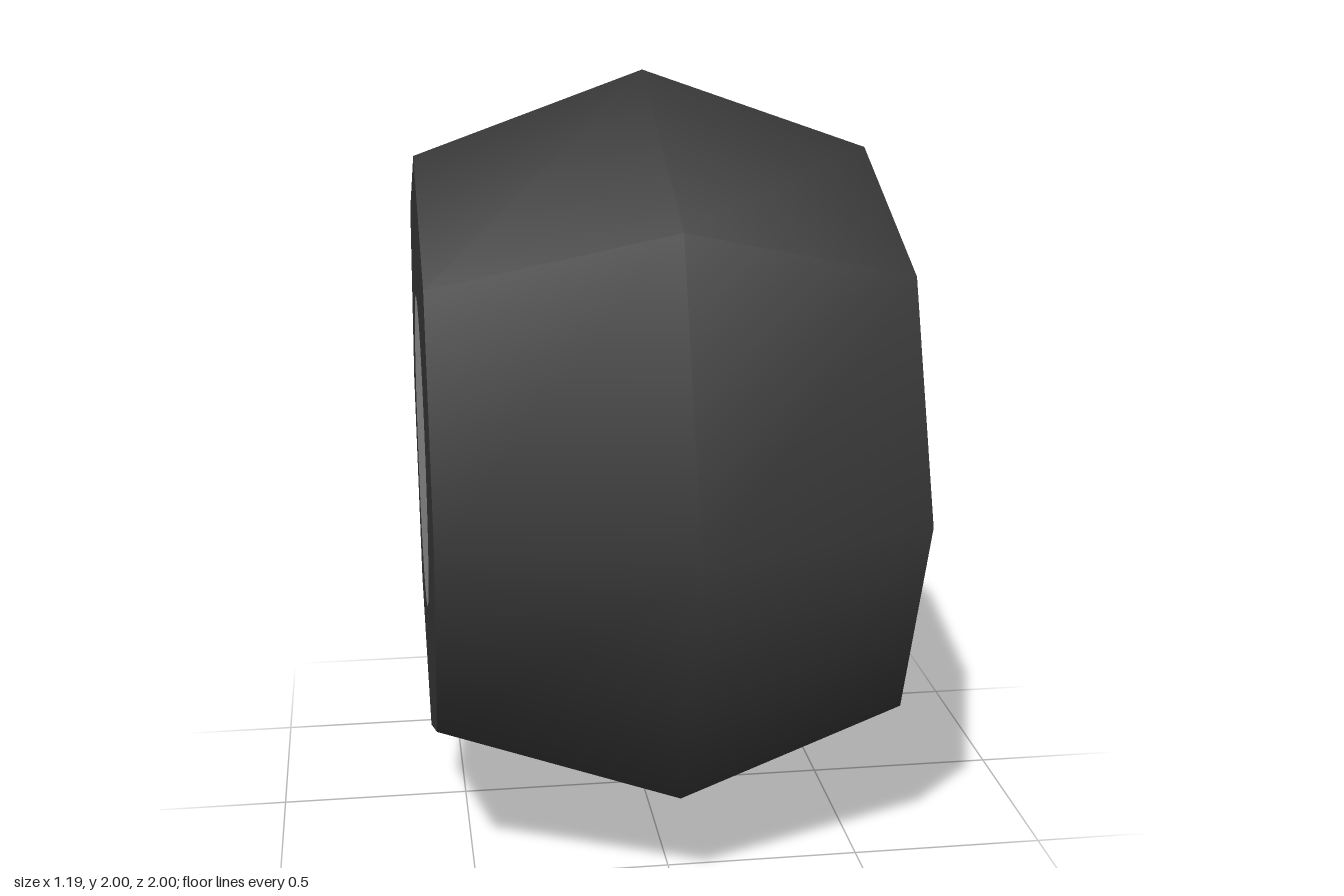
import * as THREE from 'three';

const HALF_WIDTH = 0.59;
const RIM_RADIUS = 0.79;
const SIDES = 8;

export function createModel() {
  const rubber = new THREE.MeshStandardMaterial({ color: 0x383838 });
  rubber.name = 'dark rubber';
  const metal = new THREE.MeshStandardMaterial({ color: 0x979797 });
  metal.name = 'grey hub';

  const model = new THREE.Group();
  model.name = 'wheel';

  // Smooth eight-sided tread, widest in the middle, with its axle along x
  const profile = [
    new THREE.Vector2(RIM_RADIUS, -HALF_WIDTH),
    new THREE.Vector2(1, 0),
    new THREE.Vector2(RIM_RADIUS, HALF_WIDTH),
  ];
  const treadGeometry = new THREE.LatheGeometry(profile, SIDES).rotateZ(-Math.PI / 2);
  const tread = new THREE.Mesh(treadGeometry, rubber);
  tread.name = 'tread';
  tread.position.y = 1;
  model.add(tread);

  // Flat side wall with a round painted hub, turned half round for the other side
  const disc = (name, radius, segments, material, x, z = 0) => {
    const mesh = new THREE.Mesh(new THREE.CircleGeometry(radius, segments), material);
    mesh.name = name;
    mesh.rotation.y = Math.PI / 2;
    mesh.position.set(x, 0, z);
    return mesh;
  };
  for (const [name, turn] of [['leftSide', 0], ['rightSide', Math.PI]]) {
    const side = new THREE.Group();
    side.name = name;
    side.add(disc('sideWall', RIM_RADIUS, SIDES, rubber, HALF_WIDTH));
    side.add(disc('hub', 0.415, 40, metal, HALF_WIDTH + 0.003, 0.012));
    side.position.y = 1;
    side.rotation.y = turn;
    model.add(side);
  }
  return model;
}
